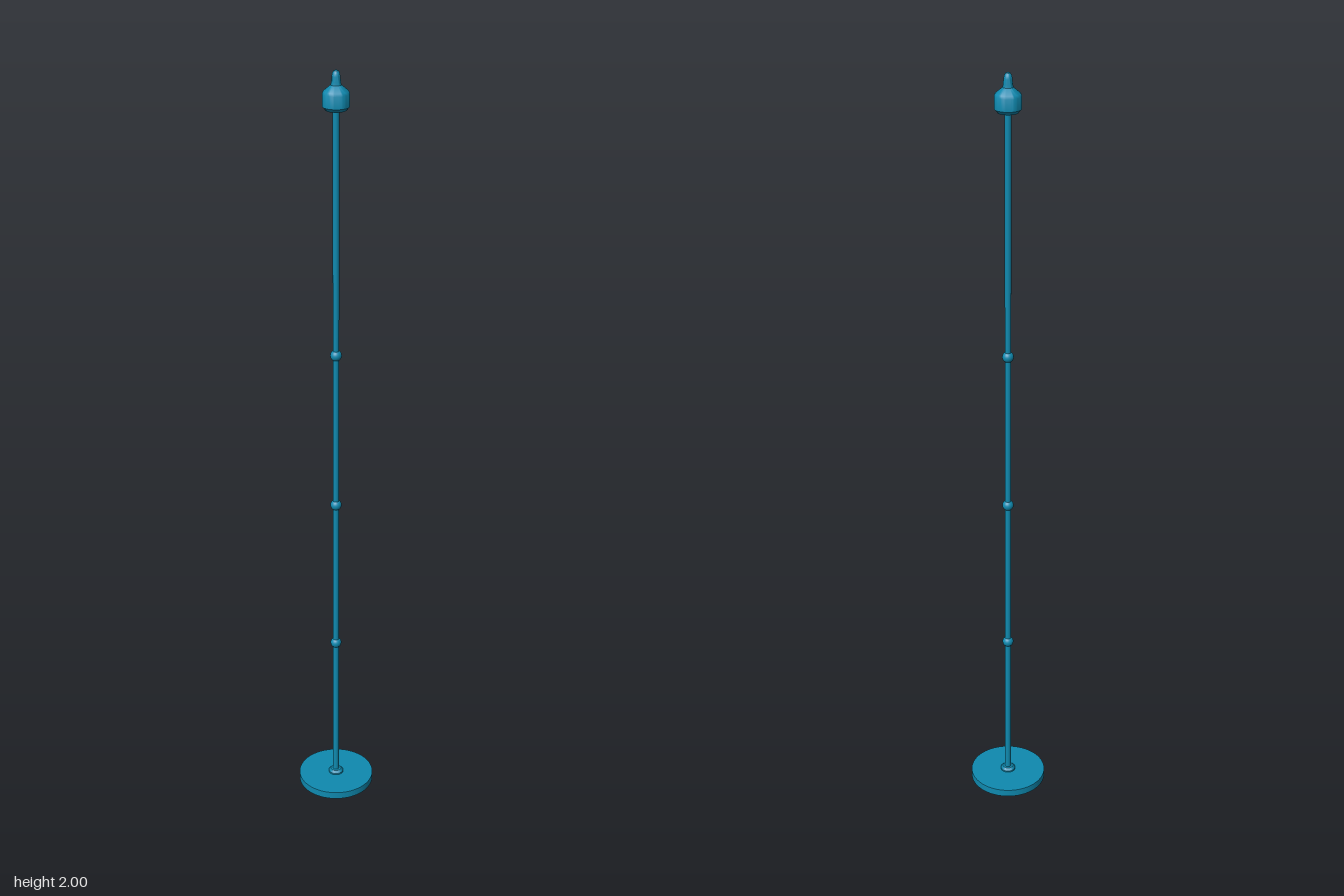
import * as THREE from 'three';
import { toCreasedNormals } from 'three/addons/utils/BufferGeometryUtils.js';

export function createModel() {
  const group = new THREE.Group();
  const material = new THREE.MeshStandardMaterial({ color: 0x0f8ab0 });

  const add = (name, geometry, y = 0) => {
    const mesh = new THREE.Mesh(geometry, material);
    mesh.name = name;
    mesh.position.y = y;
    group.add(mesh);
  };
  // Turned part from [radius, height] pairs, listed bottom to top
  const turned = (profile, sides = 48) => toCreasedNormals(
    new THREE.LatheGeometry(profile.map(([r, y]) => new THREE.Vector2(r, y)), sides), 0.6);

  // Flat round foot and the small collar that holds the pole
  add('base', new THREE.CylinderGeometry(0.102, 0.102, 0.02, 64), 0.01);
  add('baseCollar', turned([[0.02, 0.02], [0.02, 0.024], [0.014, 0.03], [0.008, 0.03]]));

  // Slender pole with evenly spaced joints
  add('pole', new THREE.CylinderGeometry(0.008, 0.008, 1.9, 32), 0.965);
  for (let i = 0; i < 3; i++) {
    add('poleJoint' + (i + 1), new THREE.SphereGeometry(0.0145, 32, 20), 0.445 + i * 0.42);
  }

  // Head: undercut, straight band and sloping shoulder
  add('head', turned([
    [0, 1.905], [0.025, 1.905], [0.033, 1.914], [0.033, 1.944],
    [0.03, 1.95], [0.012, 1.965], [0, 1.965],
  ]));

  // Rounded finial on top
  add('finial', turned([
    [0.013, 1.962], [0.0115, 1.972], [0.0105, 1.984], [0.009, 1.992], [0.0055, 1.998], [0, 2],
  ], 32));

  return group;
}
